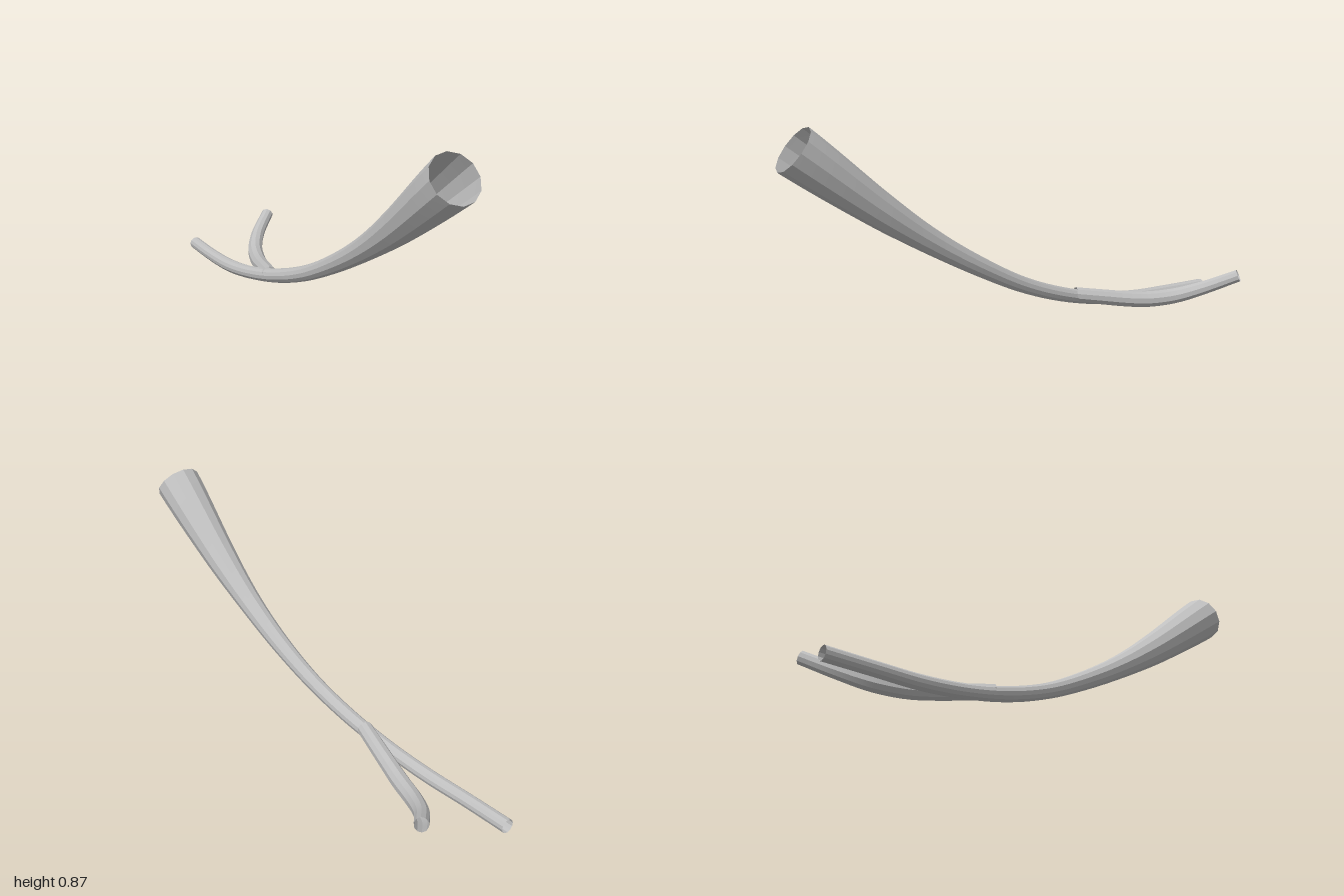
import * as THREE from 'three';
import { toCreasedNormals } from 'three/addons/utils/BufferGeometryUtils.js';

// Open tapering tube; each station is [x, y, z, radius]
function taperedTube(name, stations, segments, sides, material) {
  const path = new THREE.CatmullRomCurve3(stations.map(([x, y, z]) => new THREE.Vector3(x, y, z)));
  const radii = new THREE.SplineCurve(stations.map((s, i) => new THREE.Vector2(i, s[3])));
  const geometry = new THREE.TubeGeometry(path, segments, 1, sides, false);
  const pos = geometry.attributes.position;
  const v = new THREE.Vector3();
  for (let i = 0; i <= segments; i++) {
    const centre = path.getPointAt(i / segments);
    const radius = radii.getPoint(path.getUtoTmapping(i / segments)).y;
    for (let j = 0; j <= sides; j++) {
      const k = i * (sides + 1) + j;
      v.fromBufferAttribute(pos, k).sub(centre).multiplyScalar(radius).add(centre);
      pos.setXYZ(k, v.x, v.y, v.z);
    }
  }
  // Crisp facets around the tube, smooth along its length
  const mesh = new THREE.Mesh(toCreasedNormals(geometry, 0.35), material);
  mesh.name = name;
  return mesh;
}

export function createModel() {
  const group = new THREE.Group();
  group.name = 'branchingTube';
  const grey = new THREE.MeshStandardMaterial({ color: 0xbfbfbf, side: THREE.DoubleSide });
  grey.name = 'light grey';

  // Main tube, from the wide raised mouth to the thin far end
  group.add(taperedTube('mainTube', [
    [0.11, 0.79, 0.945, 0.097],
    [0.08, 0.53, 0.6, 0.067],
    [0.058, 0.396, 0.4, 0.049],
    [0.03, 0.28, 0.2, 0.039],
    [-0.008, 0.18, 0, 0.033],
    [-0.05, 0.108, -0.2, 0.031],
    [-0.093, 0.06, -0.4, 0.029],
    [-0.132, 0.034, -0.6, 0.029],
    [-0.162, 0.031, -0.8, 0.028],
    [-0.182, 0.034, -0.997, 0.028],
  ], 48, 12, grey));

  // Side branch, dipping and then curling up and outward
  group.add(taperedTube('sideBranch', [
    [-0.066, 0.094, -0.275, 0.032],
    [-0.043, 0.075, -0.4, 0.033],
    [-0.025, 0.06, -0.5, 0.034],
    [-0.004, 0.052, -0.6, 0.035],
    [0.028, 0.062, -0.72, 0.034],
    [0.085, 0.1, -0.835, 0.03],
    [0.173, 0.159, -0.942, 0.027],
  ], 28, 10, grey));

  return group;
}
